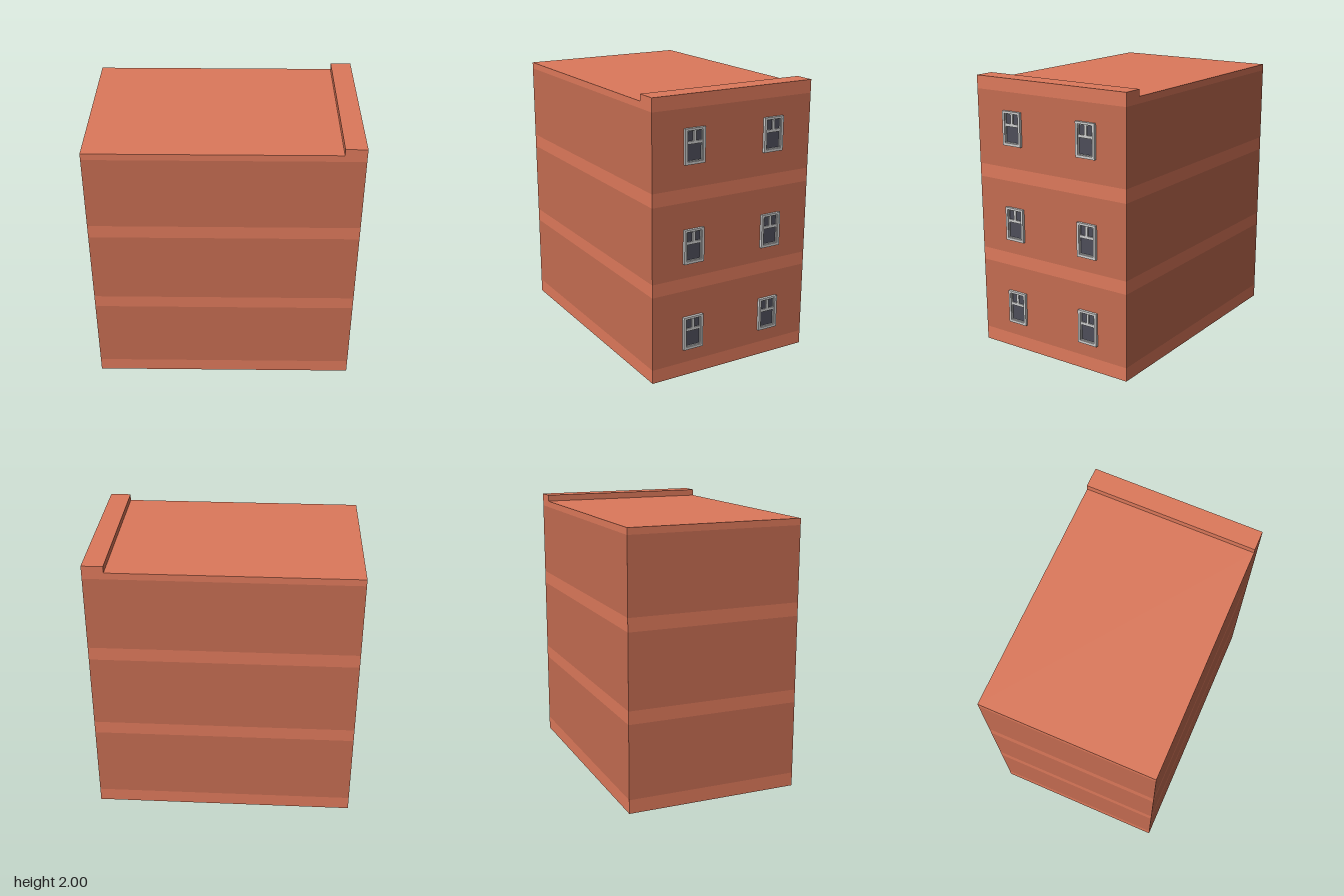
import * as THREE from 'three';

const brick = new THREE.MeshStandardMaterial({ color: 0xc46c51 });
const trim = new THREE.MeshStandardMaterial({ color: 0xdd795b });
const frame = new THREE.MeshStandardMaterial({ color: 0xd2d5d5 });
const glass = new THREE.MeshStandardMaterial({ color: 0x4d4d59 });

const X0 = -0.96, X1 = 0.94, DEPTH = 1.27;

function add(parent, name, geometry, material) {
  const mesh = new THREE.Mesh(geometry, material);
  mesh.name = name;
  parent.add(mesh);
  return mesh;
}

// Storey-wide course of wall; only the outer sides (and optionally the base) are kept
function course(y0, y1, keepBase) {
  const geo = new THREE.BoxGeometry(X1 - X0, y1 - y0, DEPTH);
  const faces = keepBase ? [0, 1, 3, 4, 5] : [0, 1, 4, 5];
  const all = Array.from(geo.index.array);
  geo.setIndex(faces.flatMap(f => all.slice(f * 6, f * 6 + 6)));
  geo.clearGroups();
  return geo.translate((X0 + X1) / 2, (y0 + y1) / 2, 0);
}

function rect(target, x0, y0, x1, y1) {
  return target.moveTo(x0, y0).lineTo(x1, y0).lineTo(x1, y1).lineTo(x0, y1).closePath();
}

// Flat panel with rectangular openings, turned to face +x
function panel(outer, holes, depth) {
  const shape = rect(new THREE.Shape(), ...outer);
  holes.forEach(h => shape.holes.push(rect(new THREE.Path(), ...h)));
  return new THREE.ExtrudeGeometry(shape, { depth, bevelEnabled: false }).rotateY(Math.PI / 2);
}

// Sash window: proud casing, set-back sash with two small panes over a large one
function createWindow() {
  const win = new THREE.Group();
  win.name = 'window';
  const opening = [-0.06, -0.103, 0.06, 0.106];
  add(win, 'casing', panel([-0.078, -0.122, 0.078, 0.122], [opening], 0.02), frame);
  add(win, 'sash', panel(opening, [
    [-0.053, -0.098, 0.053, 0.014],
    [-0.053, 0.034, -0.01, 0.1],
    [0.01, 0.034, 0.053, 0.1],
  ], 0.012), frame);
  add(win, 'glass', new THREE.PlaneGeometry(0.12, 0.209).rotateY(Math.PI / 2).translate(0.004, 0.0015, 0), glass);
  return win;
}

export function createModel() {
  const building = new THREE.Group();
  building.name = 'building';

  // Alternating trim bands and brick storeys
  const levels = [0, 0.1, 0.637, 0.732, 1.27, 1.367, 1.906];
  for (let i = 0; i < levels.length - 1; i++) {
    const band = i % 2 === 0;
    add(building, band ? 'trimBand' : 'storeyWall', course(levels[i], levels[i + 1], i === 0), band ? trim : brick);
  }

  // Roof slab stepping up to the parapet over the windowed side
  const profile = new THREE.Shape([
    [X0, 1.906], [X1, 1.906], [X1, 2], [0.79, 2], [0.79, 1.953], [X0, 1.953],
  ].map(p => new THREE.Vector2(...p)));
  const roof = new THREE.ExtrudeGeometry(profile, { depth: DEPTH, bevelEnabled: false });
  add(building, 'roofAndParapet', roof.translate(0, 0, -DEPTH / 2), trim);

  // Two windows on each storey
  for (const y of [0.322, 0.958, 1.653]) {
    for (const side of [-1, 1]) {
      const win = createWindow();
      win.position.set(X1, y, side * 0.317);
      building.add(win);
    }
  }
  return building;
}
